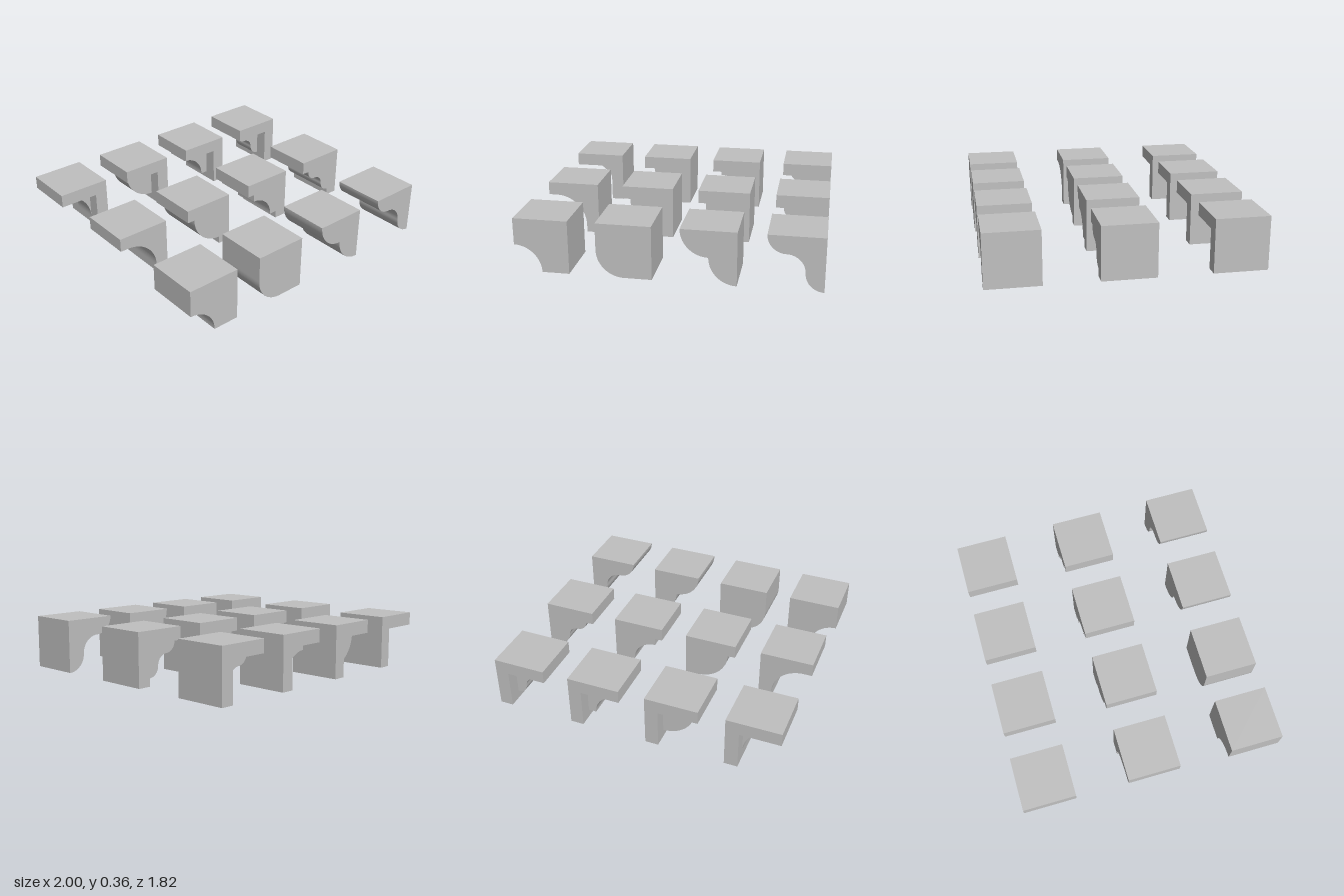
import * as THREE from 'three';

const U = 2 / 5.5;          // block size
const SLAB = 0.25;          // slab and wall thickness, in block units
const TIP = 0.15;           // where a bracket starts under the slab

// Profile arcs in block units: [centre x, centre y, radius, bulges outward]
const T = 1 / 3;
const solidArcs = [
  [[0, 0, 0.5, false]],
  [[0.5, 0.5, 0.5, true]],
  [[0.5, 1, 0.5, true], [1, 0.5, 0.5, true]],
  [[T, 1, T, true], [T, T, T, false], [1, T, T, true]],
];
const bracketArcs = [
  [[TIP, TIP, 0.6, false]],
  [[0.75, 0.75, 0.6, true]],
  [[TIP, TIP, 0.45, false]],
  [[0.35, 0.75, 0.2, true], [0.35, 0.35, 0.2, false], [0.75, 0.35, 0.2, true]],
];

function addArcs(shape, arcs) {
  for (const [x, y, r, outward] of arcs) {
    if (outward) shape.absarc(x, y, r, Math.PI, Math.PI * 1.5, false);
    else shape.absarc(x, y, r, Math.PI / 2, 0, true);
  }
}

function startShape(points) {
  const shape = new THREE.Shape();
  points.forEach(([x, y], i) => (i ? shape.lineTo(x, y) : shape.moveTo(x, y)));
  return shape;
}

// Solid block with its lower left corner moulded
function solidShape(arcs) {
  const shape = startShape([[1, 0], [1, 1], [0, 1]]);
  addArcs(shape, arcs);
  shape.closePath();
  return shape;
}

// Slab and wall with the bracket flush between them
function flushShape(arcs) {
  const shape = startShape([[1, 0], [1, 1], [0, 1], [0, 1 - SLAB], [TIP, 1 - SLAB]]);
  addArcs(shape, arcs);
  shape.lineTo(1 - SLAB, TIP);
  shape.lineTo(1 - SLAB, 0);
  shape.closePath();
  return shape;
}

// Slab and wall only
function frameShape() {
  const s = 1 - SLAB;
  const shape = startShape([[1, 0], [1, 1], [0, 1], [0, s], [s, s], [s, 0]]);
  shape.closePath();
  return shape;
}

// Bracket only
function bracketShape(arcs) {
  const s = 1 - SLAB;
  const shape = startShape([[s, s], [TIP, s]]);
  addArcs(shape, arcs);
  shape.lineTo(s, TIP);
  shape.closePath();
  return shape;
}

export function createModel() {
  const stone = new THREE.MeshStandardMaterial({ color: 0xc0c0c0 });
  stone.name = 'plain grey';
  const model = new THREE.Group();
  model.name = 'mouldingBlocks';

  // Extrude a profile along z, centred on its block
  function addPart(name, shape, depth, col, z) {
    const geo = new THREE.ExtrudeGeometry(shape, { depth, bevelEnabled: false, curveSegments: 16 });
    geo.translate(-0.5, 0, -depth / 2);
    geo.scale(U, U, U);
    const mesh = new THREE.Mesh(geo, stone);
    mesh.name = name;
    mesh.position.set((col - 1.5) * 1.5 * U, 0, z);
    model.add(mesh);
  }

  for (let col = 0; col < 4; col++) {
    // front row: solid, middle row: flush bracket, back row: narrow bracket
    addPart('solidBlock', solidShape(solidArcs[col]), 1, col, 2 * U);
    addPart('flushBracketBlock', flushShape(bracketArcs[col]), 1, col, 0);
    addPart('slabAndWall', frameShape(), 1, col, -2 * U);
    addPart('narrowBracket', bracketShape(bracketArcs[col]), 0.5, col, -2 * U);
  }
  return model;
}
